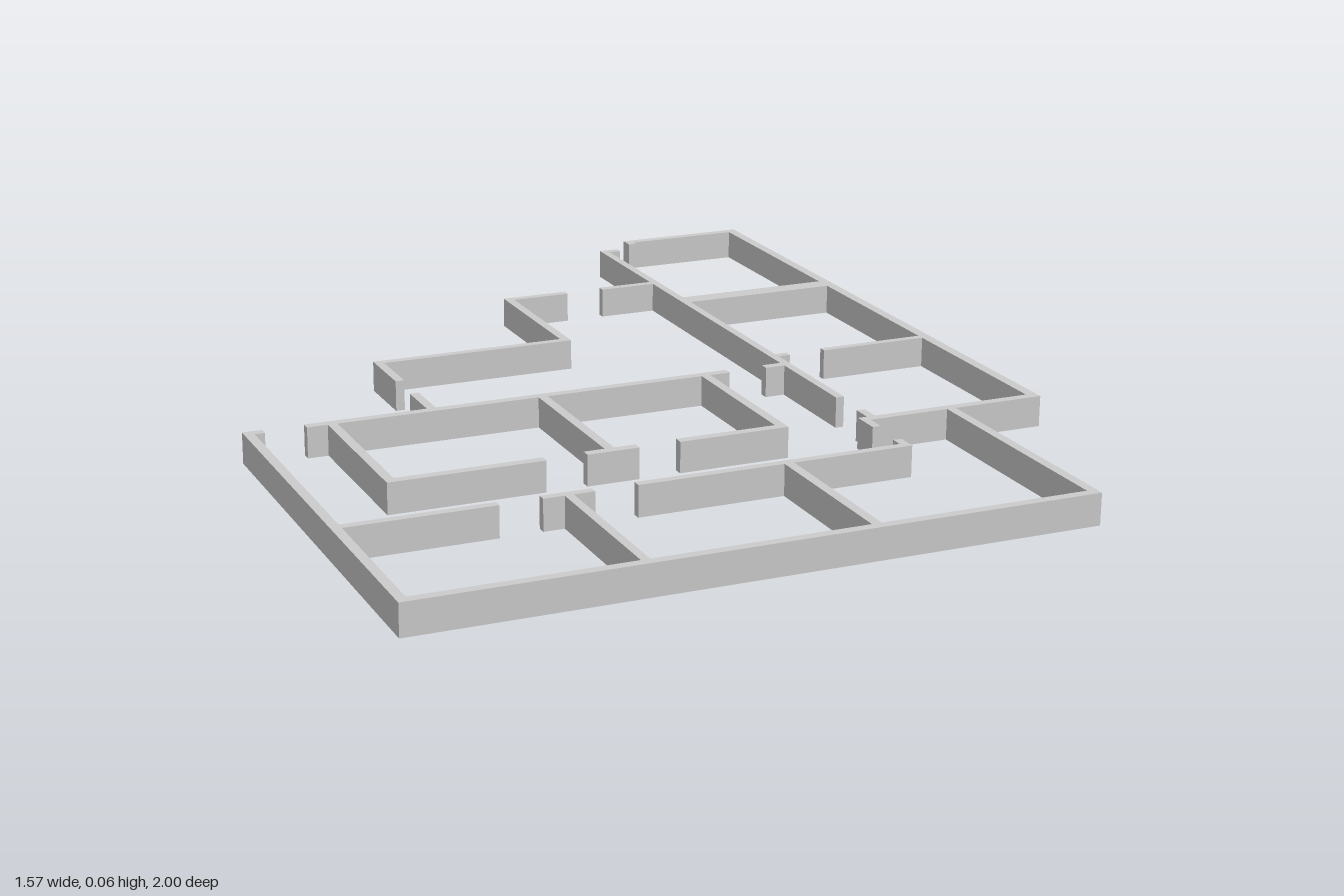
import * as THREE from 'three';

const HEIGHT = 0.065;
const material = new THREE.MeshStandardMaterial({ color: 0xcccccc, flatShading: true });

// Each wall is a floor rectangle [x0, x1, z0, z1]; walls butt against each other.
const sections = {
  outerWalls: [
    [-0.785, -0.765, 0.05, 0.98],    // left side
    [-0.785, 0.587, 0.98, 1.0],      // front
    [0.567, 0.587, 0.46, 0.98],      // front room side
    [0.375, 0.785, 0.44, 0.46],      // step to the wing
    [0.763, 0.785, -0.98, 0.44],     // wing side
    [0.485, 0.785, -1.0, -0.98],     // wing back
    [0.485, 0.503, -0.98, -0.967],   // back door jamb
  ],
  wingWalls: [
    [0.395, 0.413, -0.937, 0.307],   // long inner wall
    [0.413, 0.44, -0.937, -0.918],   // back door jamb
    [0.413, 0.763, -0.488, -0.446],  // thick partition
    [0.413, 0.44, -0.011, 0.006],    // partition, door stub
    [0.522, 0.763, -0.011, 0.006],   // partition
    [0.395, 0.413, 0.396, 0.44],     // corridor door stub
  ],
  frontRoomWalls: [
    [0.375, 0.393, 0.46, 0.502],     // door stub
    [0.375, 0.393, 0.586, 0.612],    // door stub
    [-0.765, -0.464, 0.612, 0.63],   // corridor wall in three runs
    [-0.378, -0.274, 0.612, 0.63],
    [-0.187, 0.393, 0.612, 0.63],
    [-0.335, -0.317, 0.63, 0.98],    // room dividers
    [0.117, 0.137, 0.63, 0.98],
  ],
  middleRoomWalls: [
    [-0.765, -0.744, 0.05, 0.07],    // back wall in three runs
    [-0.658, 0.267, 0.05, 0.07],
    [0.352, 0.395, 0.05, 0.07],
    [-0.615, -0.595, 0.07, 0.416],   // room dividers
    [-0.165, -0.145, 0.07, 0.416],
    [0.202, 0.222, 0.07, 0.416],
    [-0.615, -0.294, 0.416, 0.436],  // corridor wall in three runs
    [-0.209, -0.1, 0.416, 0.436],
    [-0.013, 0.222, 0.416, 0.436],
  ],
  backHallWalls: [
    [-0.4, -0.381, -0.055, 0.05],    // side wall around its doorway
    [-0.4, -0.381, -0.275, -0.145],
    [-0.4, 0.048, -0.293, -0.275],   // stepped back wall
    [0.029, 0.048, -0.619, -0.293],
    [0.029, 0.18, -0.637, -0.619],
    [0.267, 0.395, -0.637, -0.619],
  ],
};

function wall([x0, x1, z0, z1]) {
  const geometry = new THREE.BoxGeometry(x1 - x0, HEIGHT, z1 - z0);
  const mesh = new THREE.Mesh(geometry, material);
  mesh.position.set((x0 + x1) / 2, HEIGHT / 2, (z0 + z1) / 2);
  mesh.name = 'wall';
  return mesh;
}

export function createModel() {
  const model = new THREE.Group();
  model.name = 'floorPlanWalls';
  for (const [name, walls] of Object.entries(sections)) {
    const group = new THREE.Group();
    group.name = name;
    walls.forEach((rect) => group.add(wall(rect)));
    model.add(group);
  }
  return model;
}
